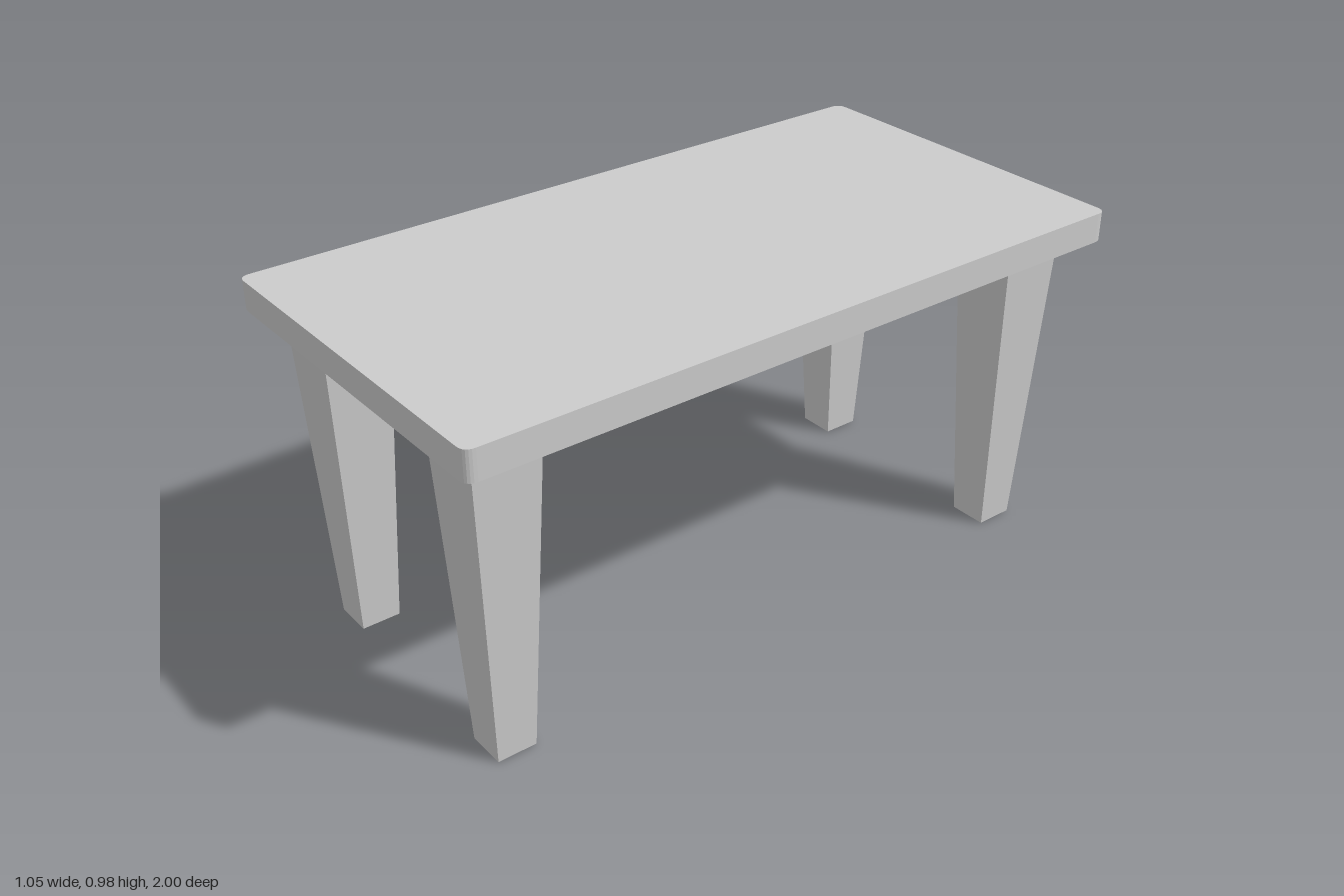
import * as THREE from 'three';

const material = new THREE.MeshStandardMaterial({ color: 0xcccccc, flatShading: true });

// Slab outline with slightly eased corners
function slabShape(hx, hz, r) {
  const s = new THREE.Shape();
  s.moveTo(-hx + r, -hz);
  s.lineTo(hx - r, -hz);
  s.quadraticCurveTo(hx, -hz, hx, -hz + r);
  s.lineTo(hx, hz - r);
  s.quadraticCurveTo(hx, hz, hx - r, hz);
  s.lineTo(-hx + r, hz);
  s.quadraticCurveTo(-hx, hz, -hx, hz - r);
  s.lineTo(-hx, -hz + r);
  s.quadraticCurveTo(-hx, -hz, -hx + r, -hz);
  return s;
}

// Square leg tapering towards the floor
function legGeometry(topHalf, bottomHalf, height) {
  const g = new THREE.CylinderGeometry(topHalf * Math.SQRT2, bottomHalf * Math.SQRT2, height, 4);
  g.rotateY(Math.PI / 4);
  g.translate(0, height / 2, 0);
  return g;
}

export function createModel() {
  const table = new THREE.Group();
  table.name = 'table';

  // Table top
  const topGeometry = new THREE.ExtrudeGeometry(slabShape(0.526, 1, 0.03), {
    depth: 0.083, bevelEnabled: false, curveSegments: 6,
  });
  topGeometry.rotateX(-Math.PI / 2);
  const top = new THREE.Mesh(topGeometry, material);
  top.name = 'tableTop';
  top.position.y = 0.899;
  table.add(top);

  // Four legs, ending just under the top
  const geometry = legGeometry(0.0945, 0.055, 0.893);
  for (const [zName, z] of [['front', 1], ['back', -1]]) {
    for (const [xName, x] of [['Left', 1], ['Right', -1]]) {
      const leg = new THREE.Mesh(geometry, material);
      leg.name = `${zName}${xName}Leg`;
      leg.position.set(x * 0.335, 0, z * 0.839);
      table.add(leg);
    }
  }
  return table;
}
